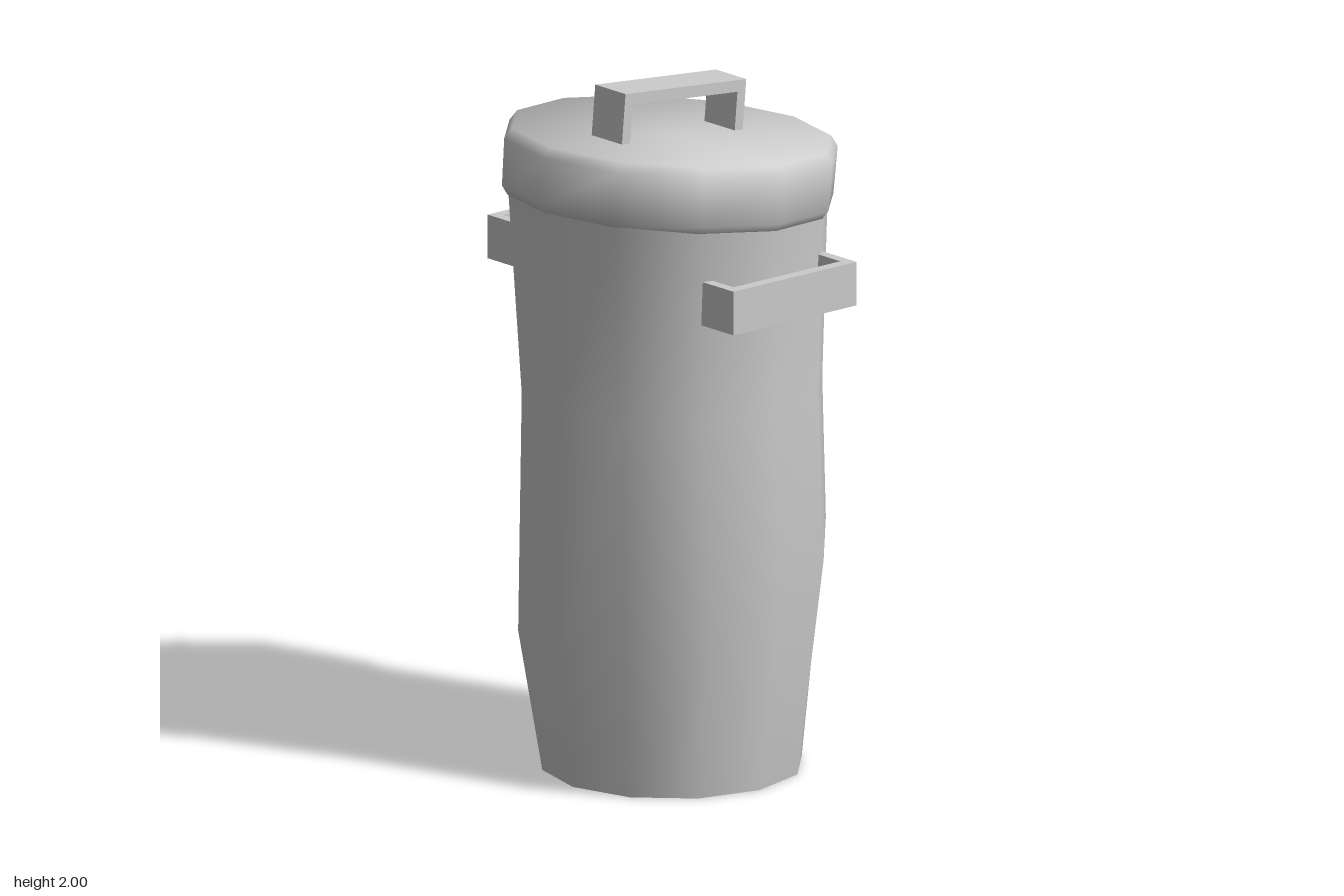
import * as THREE from 'three';
import { toCreasedNormals } from 'three/addons/utils/BufferGeometryUtils.js';

const SIDES = 12;

// Closed solid through a stack of elliptical rings, listed from bottom to top.
// slope tips a ring along x, dx shifts it sideways.
function ringSolid(rings, crease) {
  const last = rings.length - 1;
  const geo = new THREE.CylinderGeometry(1, 1, 1, SIDES, last);
  const p = geo.attributes.position;
  for (let i = 0; i < p.count; i++) {
    const { y, rx, rz = rx, slope = 0, dx = 0 } = rings[Math.round((p.getY(i) + 0.5) * last)];
    const x = p.getX(i) * rx;
    p.setXYZ(i, x + dx, y + slope * x, p.getZ(i) * rz);
  }
  return toCreasedNormals(geo, crease);
}

export function createModel() {
  const model = new THREE.Group();
  model.name = 'dentedBin';
  const material = new THREE.MeshStandardMaterial({ color: 0xcccccc });

  function add(parent, name, geometry, x = 0, y = 0, z = 0) {
    const mesh = new THREE.Mesh(geometry, material);
    mesh.name = name;
    mesh.position.set(x, y, z);
    parent.add(mesh);
    return mesh;
  }

  // Square bracket handle: the bar is at y = height, the legs go down to y = 0
  function makeHandle(name, width, height, depth, bar, leg) {
    const handle = new THREE.Group();
    handle.name = name;
    add(handle, 'handleBar', new THREE.BoxGeometry(width, bar, depth), 0, height - bar / 2, 0);
    for (const s of [-1, 1]) {
      add(handle, 'handleLeg', new THREE.BoxGeometry(leg, height - bar, depth),
        s * (width - leg) / 2, (height - bar) / 2, 0);
    }
    return handle;
  }

  // Crooked body
  add(model, 'body', ringSolid([
    { y: 0, rx: 0.37 },
    { y: 0.55, rx: 0.428, rz: 0.46, slope: 0.39 },
    { y: 1.1, rx: 0.428, rz: 0.43 },
    { y: 1.65, rx: 0.455, slope: -0.09, dx: -0.015 },
  ], 0.9));

  // Tilted lid with rounded rim and its handle
  const lid = new THREE.Group();
  lid.name = 'lid';
  lid.position.set(-0.015, 1.645, -0.004);
  lid.rotation.z = -0.092;
  add(lid, 'lidShell', ringSolid([
    { y: 0, rx: 0.457 },
    { y: 0.025, rx: 0.474 },
    { y: 0.16, rx: 0.477 },
    { y: 0.19, rx: 0.457 },
  ], 1.1));
  const lidHandle = makeHandle('lidHandle', 0.452, 0.155, 0.128, 0.034, 0.03);
  lidHandle.position.set(-0.016, 0.18, -0.001);
  lid.add(lidHandle);
  model.add(lid);

  // Front and back carrying handles
  for (const [name, s] of [['frontHandle', 1], ['backHandle', -1]]) {
    const handle = makeHandle(name, 0.458, 0.143, 0.127, 0.034, 0.03);
    handle.position.set(0, 1.4625, s * 0.377);
    handle.rotation.x = s * Math.PI / 2;
    model.add(handle);
  }

  return model;
}
